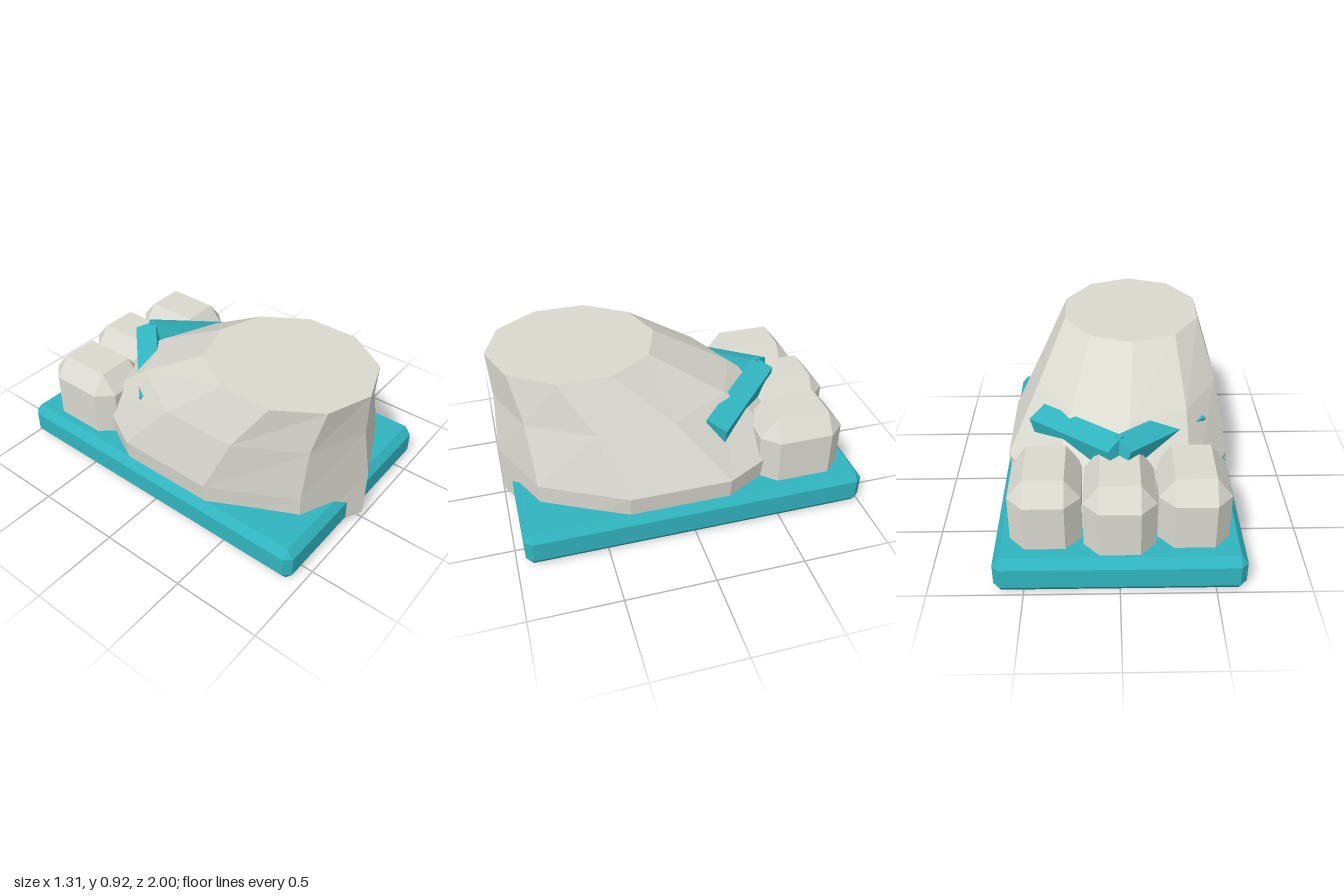
import * as THREE from 'three';
import { ConvexGeometry } from 'three/addons/geometries/ConvexGeometry.js';

const paleGrey = new THREE.MeshStandardMaterial({ name: 'paleGrey', color: 0xdad9d0 });
const teal = new THREE.MeshStandardMaterial({ name: 'teal', color: 0x30b5c0 });

// Box with every edge cut off; c, h and b are centre, half size and bevel per axis
function chamferedBox(c, h, b) {
  const points = [];
  for (const sx of [-1, 1]) for (const sy of [-1, 1]) for (const sz of [-1, 1]) {
    for (let face = 0; face < 3; face++) {
      const p = [sx, sy, sz].map((s, i) => c[i] + s * (h[i] - (i === face ? 0 : b[i])));
      points.push(new THREE.Vector3(...p));
    }
  }
  return new ConvexGeometry(points);
}

// Faceted solid through ten-sided elliptical rings, listed from bottom to top
function loft(rings, sides) {
  const at = (r, i) => {
    const a = (i / sides) * Math.PI * 2;
    return [r.x + r.rx * Math.sin(a), r.y, r.z + r.rz * Math.cos(a)];
  };
  const pos = [];
  const bottom = rings[0], top = rings[rings.length - 1];
  for (let i = 0; i < sides; i++) {
    for (let k = 0; k + 1 < rings.length; k++) {
      const a = at(rings[k], i), b = at(rings[k], i + 1);
      const c = at(rings[k + 1], i + 1), d = at(rings[k + 1], i);
      pos.push(...a, ...b, ...c, ...a, ...c, ...d);
    }
    pos.push(...at(top, i), ...at(top, i + 1), top.x, top.y, top.z);
    pos.push(...at(bottom, i + 1), ...at(bottom, i), bottom.x, bottom.y, bottom.z);
  }
  const g = new THREE.BufferGeometry();
  g.setAttribute('position', new THREE.Float32BufferAttribute(pos, 3));
  g.computeVertexNormals();
  return g;
}

export function createModel() {
  const model = new THREE.Group();
  const add = (name, geometry, material) => {
    const mesh = new THREE.Mesh(geometry, material);
    mesh.name = name;
    model.add(mesh);
  };

  // Sole
  add('sole', chamferedBox([0, 0.1075, -0.025], [0.655, 0.1075, 0.975], [0.037, 0.049, 0.039]), teal);

  // Foot, leaning back up to the cut ankle
  add('foot', loft([
    { x: 0, y: 0.04, z: 0.085, rx: 0.63, rz: 0.913 },
    { x: 0, y: 0.33, z: 0.085, rx: 0.662, rz: 0.915 },
    { x: -0.06, y: 0.655, z: 0.29, rx: 0.54, rz: 0.69 },
    { x: -0.09, y: 0.915, z: 0.522, rx: 0.42, rz: 0.473 },
  ], 10), paleGrey);

  // Three toes, the middle one set further out
  for (const [name, x, z] of [['leftToe', 0.385, -0.652], ['middleToe', 0, -0.703], ['rightToe', -0.385, -0.652]]) {
    add(name, chamferedBox([x, 0.3425, z], [0.188, 0.2425, 0.243], [0.083, 0.11, 0.09]), paleGrey);
  }

  // Straps meeting in a V between the toes
  for (const side of [1, -1]) {
    const corners = [];
    for (const end of [[0.497, 0.567, -0.204], [0.06, 0.635, -0.64]]) {
      for (const inward of [0, 1]) for (const down of [0, 1]) {
        corners.push(new THREE.Vector3(
          side * (end[0] - 0.08 * inward - 0.03 * down),
          end[1] + 0.045 * inward - 0.11 * down,
          end[2] + 0.09 * inward));
      }
    }
    add(side > 0 ? 'leftStrap' : 'rightStrap', new ConvexGeometry(corners), teal);
  }
  return model;
}
